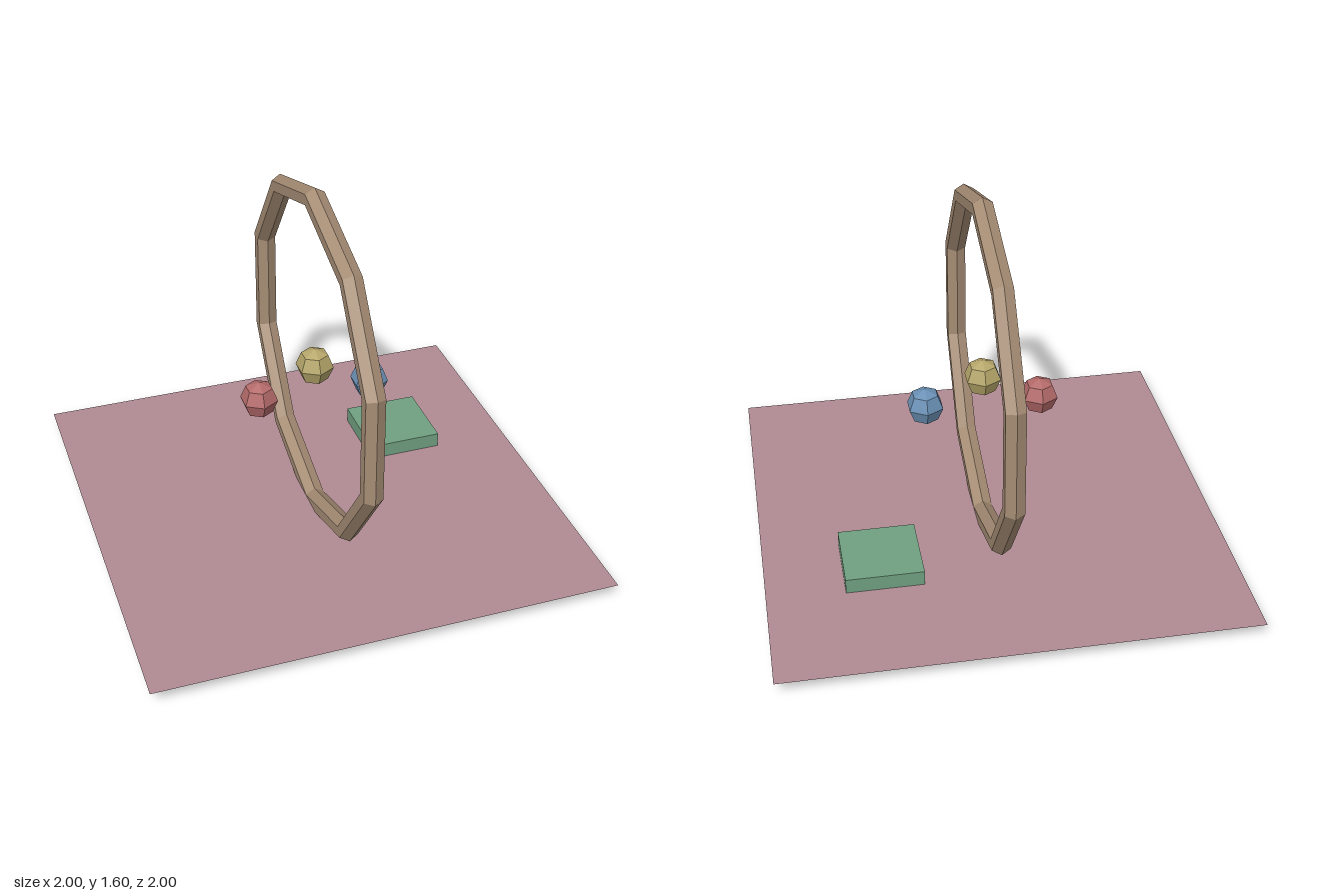
import * as THREE from 'three';

export function createModel() {
  const model = new THREE.Group();

  const add = (name, geometry, color, x, y, z, side = THREE.FrontSide) => {
    const material = new THREE.MeshStandardMaterial({ color, flatShading: true, side });
    const mesh = new THREE.Mesh(geometry, material);
    mesh.name = name;
    mesh.position.set(x, y, z);
    model.add(mesh);
  };

  // Flat square ground sheet, crossed by the bottom of the ring
  const floorY = 0.07;
  add('groundSheet', new THREE.PlaneGeometry(2, 2).rotateX(-Math.PI / 2), 0xb08a94, 0, floorY, 0, THREE.DoubleSide);

  // Ten-sided upright ring with a hexagonal section, one corner at the top
  const ring = new THREE.TorusGeometry(0.75, 0.048, 6, 10).rotateZ(Math.PI / 2).rotateY(Math.PI / 2);
  add('ring', ring, 0xa58c74, 0, 0.799, 0);

  // Three low-poly balls floating inside and beside the ring
  const ball = new THREE.SphereGeometry(0.083, 6, 4).rotateY(Math.PI / 2);
  add('rightBall', ball, 0xb46a6a, -0.25, 0.637, 0);
  add('middleBall', ball, 0xb5a66a, 0, 0.755, 0);
  add('leftBall', ball, 0x6a90b5, 0.25, 0.637, 0);

  // Low square block resting on the sheet
  const height = 0.067;
  add('block', new THREE.BoxGeometry(0.333, height, 0.333), 0x70a080, 0.5, floorY + height / 2, -0.335);

  return model;
}
